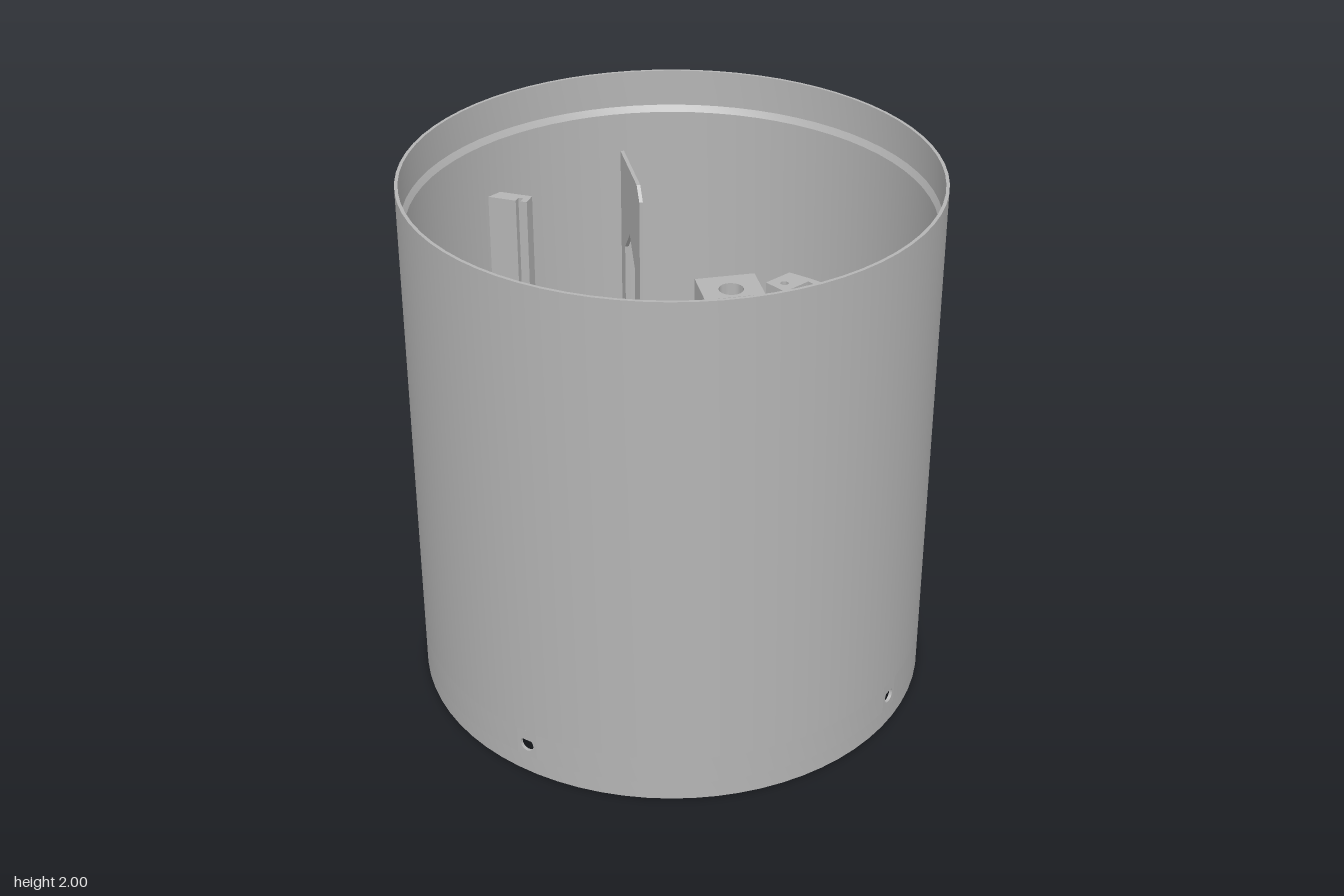
import * as THREE from 'three';
import { toCreasedNormals } from 'three/addons/utils/BufferGeometryUtils.js';

const RAD = Math.PI / 180;
const RO = 0.96, LIP = 0.948, RI = 0.935;
const grey = new THREE.MeshStandardMaterial({ color: 0xb4b4b4 });
grey.name = 'grey plastic';

function add(parent, name, geometry) {
  const mesh = new THREE.Mesh(geometry, grey);
  mesh.name = name;
  parent.add(mesh);
  return mesh;
}

// Group whose local +z points outwards at the given angle from the front
function station(parent, name, degrees) {
  const g = new THREE.Group();
  g.name = name;
  g.rotation.y = degrees * RAD;
  parent.add(g);
  return g;
}

const polygon = (pts) => new THREE.Shape(pts.map((p) => new THREE.Vector2(...p)));

function lathe(profile, start = 2.5, sweep = 360) {
  const pts = profile.map((p) => new THREE.Vector2(...p));
  const g = new THREE.LatheGeometry(pts, sweep / 5, start * RAD, sweep * RAD);
  return toCreasedNormals(g, 0.2);
}

// Upright plate drawn in (radius, height) and centred on local x
function radialPlate(shape, thickness, x = 0) {
  const g = new THREE.ExtrudeGeometry(shape, { depth: thickness, bevelEnabled: false });
  g.translate(0, 0, -thickness / 2).rotateY(-Math.PI / 2).translate(x, 0, 0);
  return g;
}

// Vertical block with a round bore; its underside slopes down to the wall
function boredBlock(x, half, z0, z1, boreZ, boreR, top, bottom) {
  const shape = polygon([[x - half, z0], [x + half, z0], [x + half, z1], [x - half, z1]]);
  shape.holes.push(new THREE.Path().absarc(x, boreZ, boreR, 0, Math.PI * 2, true));
  const g = new THREE.ExtrudeGeometry(shape, { depth: top - bottom, bevelEnabled: false, curveSegments: 12 });
  g.rotateX(Math.PI / 2).translate(0, top, 0);
  const p = g.attributes.position;
  for (let i = 0; i < p.count; i++) {
    if (p.getY(i) < bottom + 0.001) p.setY(i, bottom + z1 - p.getZ(i));
  }
  g.computeVertexNormals();
  return toCreasedNormals(g, 0.6);
}

// Curved bar: a box bent along the wall, rising from y0 to y1
function curvedBar(a0, a1, r0, r1, y0, y1, height) {
  const g = new THREE.BoxGeometry(1, 1, 1, 16, 1, 1);
  const p = g.attributes.position;
  for (let i = 0; i < p.count; i++) {
    const t = p.getX(i) + 0.5;
    const a = (a0 + (a1 - a0) * t) * RAD;
    const r = r0 + (r1 - r0) * (p.getZ(i) + 0.5);
    const y = y0 + (y1 - y0) * t + (p.getY(i) - 0.5) * height;
    p.setXYZ(i, r * Math.sin(a), y, r * Math.cos(a));
  }
  return toCreasedNormals(g, 0.5);
}

export function createModel() {
  const model = new THREE.Group();
  model.name = 'tube housing';

  // Tube wall with stepped lips at both ends
  const b0 = 0.07, b1 = 0.18;
  add(model, 'lowerRim', lathe([[LIP, b0], [LIP, 0], [RO, 0], [RO, b0]]));
  add(model, 'tubeWall', lathe([[RO, b1], [RO, 2], [LIP, 2], [LIP, 1.86], [RI, 1.835],
    [RI, 0.28], [LIP, 0.255], [LIP, b1]]));

  // Band around the screw holes
  for (let i = 0; i < 4; i++) {
    const start = 47.5 + i * 90;
    add(model, 'holeBandOuter', lathe([[RO, b0], [RO, b1]], start, 85));
    add(model, 'holeBandInner', lathe([[LIP, b1], [LIP, b0]], start, 85));

    const w = RO * Math.sin(2.5 * RAD);
    const panel = polygon([[-w, b0], [w, b0], [w, b1], [-w, b1]]);
    const drop = new THREE.Path();
    drop.moveTo(0, 0.162);
    drop.absarc(0, 0.12, 0.028, 135 * RAD, 405 * RAD, false);
    drop.closePath();
    panel.holes.push(drop);
    const g = new THREE.ExtrudeGeometry(panel, { depth: RO - LIP, bevelEnabled: false });
    g.translate(0, 0, LIP * Math.cos(2.5 * RAD));
    add(station(model, 'screwHole', 45 + i * 90), 'screwHolePanel', g);
  }

  // Three inner fins with pointed windows
  for (const a of [60, 180, -60]) {
    const fin = polygon([[0.56, 0.68], [0.94, 0.3], [0.94, 1.68], [0.61, 1.68], [0.56, 1.63]]);
    fin.holes.push(polygon([[0.76, 0.78], [0.66, 0.88], [0.66, 1.3], [0.76, 1.4], [0.86, 1.3], [0.86, 0.88]]));
    add(station(model, 'finStation', a), 'fin', radialPlate(fin, 0.014));
  }

  // Front screw post and the thickened wall behind it
  add(model, 'screwPost', boredBlock(0, 0.097, 0.8, 0.945, 0.89, 0.04, 2, 1.0));
  add(model, 'wallPad', curvedBar(-20.5, 20.5, 0.922, 0.94, 1.75, 1.75, 0.7));

  // Pair of slotted rails for a board
  const rails = station(model, 'boardRails', -120);
  const railPart = (r0, r1) => polygon([[r0, 1.39 - r0], [r1, 1.39 - r1], [r1, 1.62], [r0, 1.62]]);
  for (const s of [-1, 1]) {
    add(rails, 'railSpine', radialPlate(railPart(0.7, 0.855), 0.028, s * 0.415));
    add(rails, 'railLip', radialPlate(railPart(0.7, 0.725), 0.028, s * 0.387));
    add(rails, 'railBack', radialPlate(railPart(0.745, 0.86), 0.028, s * 0.387));
  }

  // Sloping ledge along the wall
  add(model, 'ramp', curvedBar(-120, -78, 0.885, 0.945, 0.75, 0.33, 0.04));

  // Flat mounting pad with two bored blocks
  const mount = station(model, 'sideMount', 120);
  const pad = polygon([[-0.27, 0.89], [0.27, 0.89], [0.2, 0.92], [0, 0.942], [-0.2, 0.92]]);
  const padGeometry = new THREE.ExtrudeGeometry(pad, { depth: 0.6, bevelEnabled: false });
  add(mount, 'mountPad', padGeometry.rotateX(Math.PI / 2).translate(0, 1.2, 0));
  for (const s of [-1, 1]) {
    add(mount, 'mountBlock', boredBlock(s * 0.235, 0.053, 0.76, 0.905, 0.81, 0.016, 1.2, 0.85));
  }

  return model;
}
